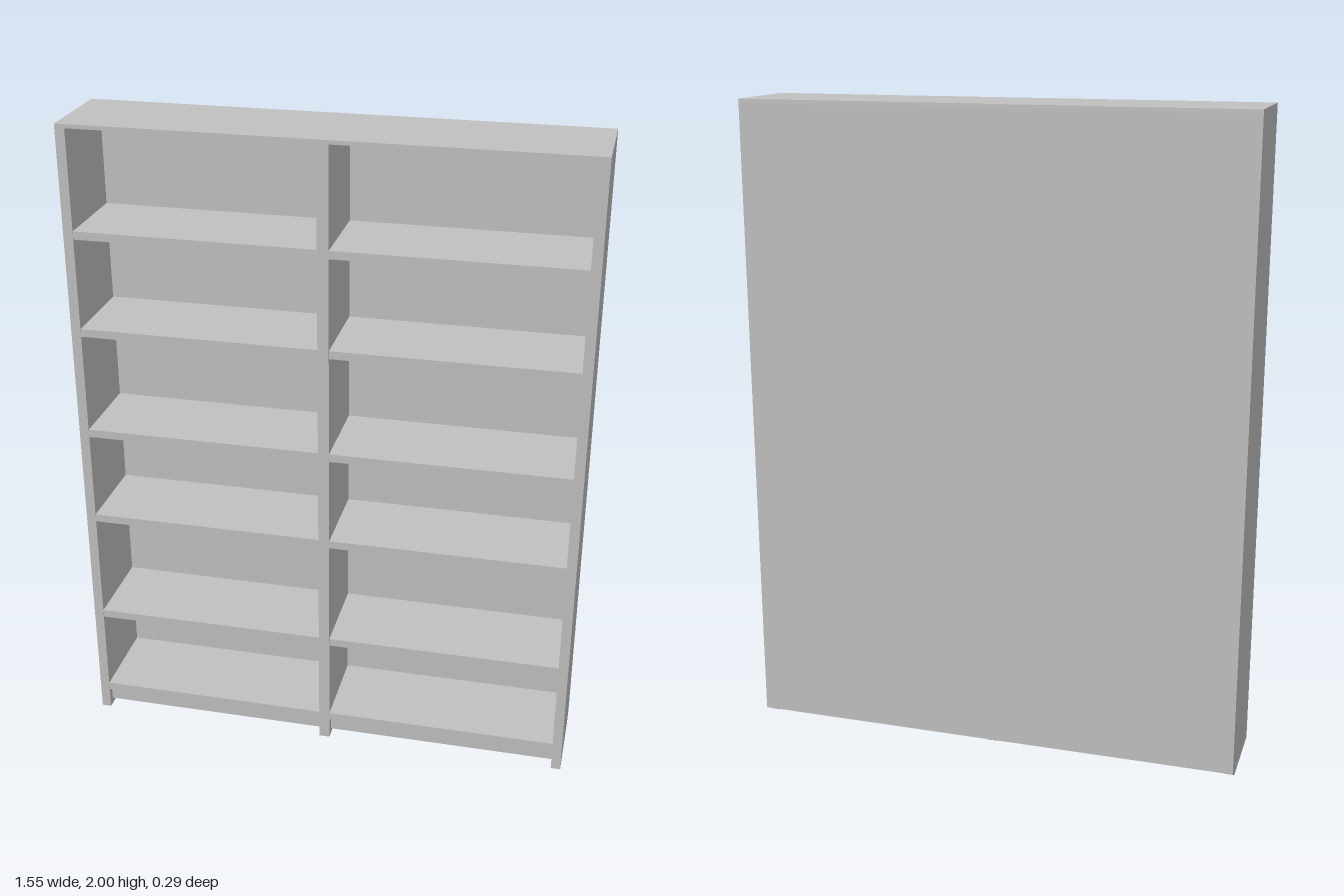
import * as THREE from 'three';

export function createModel() {
  const group = new THREE.Group();
  group.name = 'bookcase';
  const grey = new THREE.MeshStandardMaterial({ color: 0xc0c0c0 });
  grey.name = 'grey';

  const front = 0.147, back = -0.147, backInner = -0.132;
  const topY = 1.988; // underside of the top board
  const outer = 0.775, inner = 0.745, mid = 0.017;

  // Box given by its limits on each axis
  function board(name, x0, x1, y0, y1, z0, z1) {
    const mesh = new THREE.Mesh(new THREE.BoxGeometry(x1 - x0, y1 - y0, z1 - z0), grey);
    mesh.position.set((x0 + x1) / 2, (y0 + y1) / 2, (z0 + z1) / 2);
    mesh.name = name;
    group.add(mesh);
  }

  // Upright with a notch for the skirting at its lower back corner
  function upright(name, x0, x1, rear) {
    const profile = new THREE.Shape([
      [front, 0], [front, topY], [rear, topY], [rear, 0.02], [-0.126, 0.02], [-0.112, 0],
    ].map(([z, y]) => new THREE.Vector2(-z, y)));
    const geometry = new THREE.ExtrudeGeometry(profile, { depth: x1 - x0, bevelEnabled: false });
    geometry.rotateY(Math.PI / 2); // shape x becomes -z, depth becomes x
    const mesh = new THREE.Mesh(geometry, grey);
    mesh.position.x = x0;
    mesh.name = name;
    group.add(mesh);
  }

  upright('rightSide', -outer, -inner, back);
  upright('leftSide', inner, outer, back);
  upright('centreDivider', -mid, mid, backInner);

  board('topBoard', -outer, outer, topY, 2, back, front);
  board('backPanel', -inner, inner, 0.02, topY, back, backInner);

  // Shelves and recessed kick plate in each bay
  const shelfTops = [0.095, 0.385, 0.745, 1.045, 1.38, 1.685];
  for (const [x0, x1] of [[-inner, -mid], [mid, inner]]) {
    shelfTops.forEach((y, i) =>
      board(i === 0 ? 'bottomShelf' : 'shelf', x0, x1, y - 0.025, y, backInner, front - 0.001));
    board('kickPlate', x0, x1, 0.02, 0.07, 0.105, 0.127);
  }
  return group;
}
